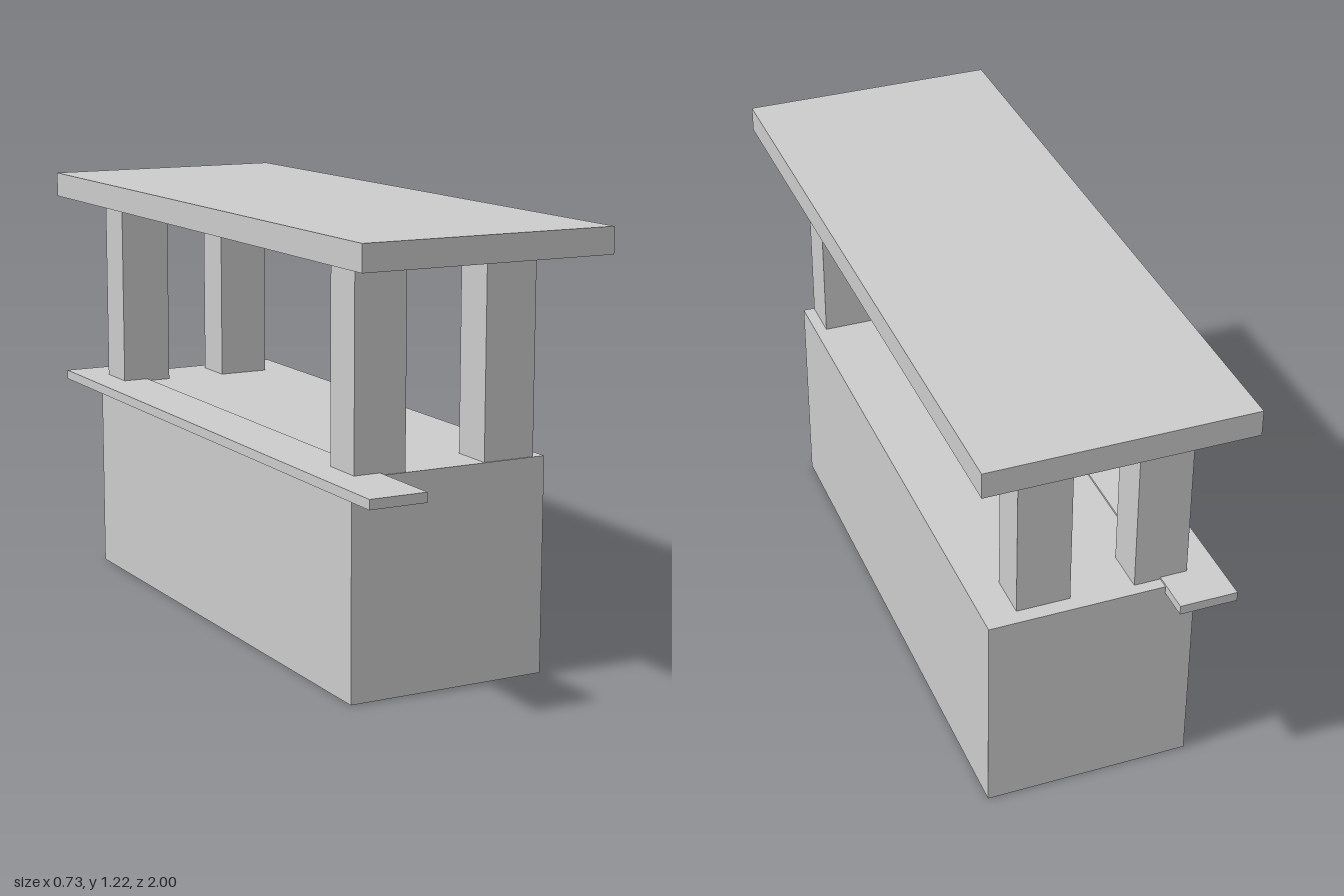
import * as THREE from 'three';

const material = new THREE.MeshStandardMaterial({ color: 0xcccccc, flatShading: true });

// Box given by its lower and upper limits on each axis
function slab(name, [x0, x1], [y0, y1], [z0, z1]) {
  const mesh = new THREE.Mesh(new THREE.BoxGeometry(x1 - x0, y1 - y0, z1 - z0), material);
  mesh.name = name;
  mesh.position.set((x0 + x1) / 2, (y0 + y1) / 2, (z0 + z1) / 2);
  return mesh;
}

export function createModel() {
  const stall = new THREE.Group();
  stall.name = 'stall';

  // Solid counter, overhanging side shelf and flat roof
  stall.add(
    slab('counterBase', [-0.291, 0.288], [0, 0.597], [-0.847, 0.77]),
    slab('sideShelf', [-0.369, -0.206], [0.576, 0.603], [-0.94, 1]),
    slab('roof', [-0.366, 0.365], [1.147, 1.219], [-1, 0.953])
  );

  // Four posts, just short of the roof: name, low x, low z
  const posts = [
    ['frontRightPost', -0.282, 0.641],
    ['frontLeftPost', 0.105, 0.641],
    ['backRightPost', -0.282, -0.813],
    ['backLeftPost', 0.045, -0.803]
  ];
  for (const [name, x, z] of posts) {
    stall.add(slab(name, [x, x + 0.15], [0.597, 1.139], [z, z + 0.125]));
  }
  return stall;
}
